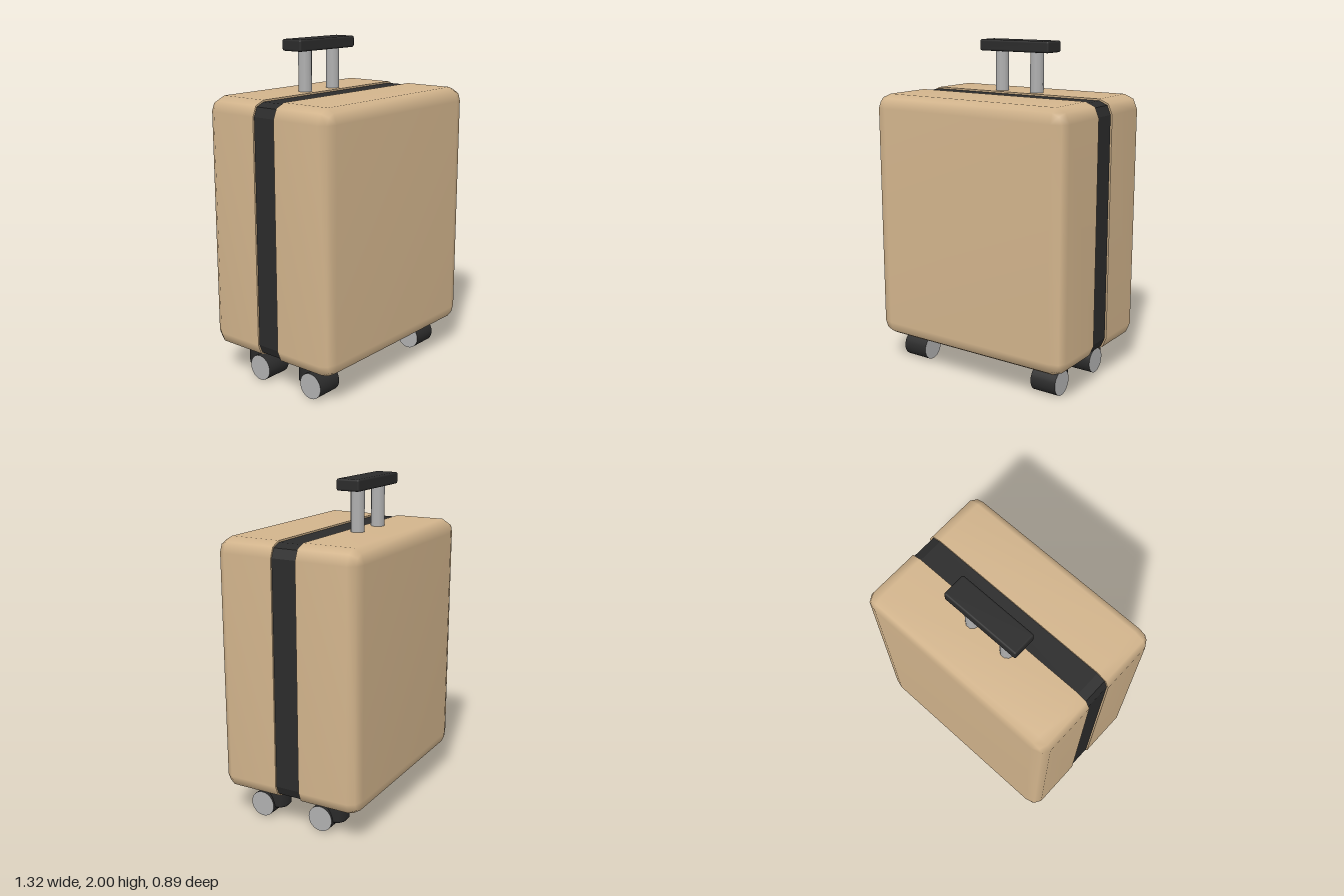
import * as THREE from 'three';
import { mergeVertices } from 'three/addons/utils/BufferGeometryUtils.js';
import { RoundedBoxGeometry } from 'three/addons/geometries/RoundedBoxGeometry.js';

const HALF_W = 0.66, HALF_H = 0.754, MID_Y = 0.938, RADIUS = 0.085, SEAM = 0.077;

const mat = (name, color) => {
  const m = new THREE.MeshStandardMaterial({ color });
  m.name = name;
  return m;
};

// Rounded rectangle, counter-clockwise, each corner cut in two steps
function outline(inset) {
  const pts = [], r = RADIUS - inset;
  [[1, 1], [-1, 1], [-1, -1], [1, -1]].forEach(([sx, sy], corner) => {
    for (let i = 0; i <= 2; i++) {
      const a = (corner + i / 2) * Math.PI / 2;
      pts.push(new THREE.Vector2(
        sx * (HALF_W - RADIUS) + r * Math.cos(a),
        sy * (HALF_H - RADIUS) + r * Math.sin(a)));
    }
  });
  return pts;
}

// Half shell: straight wall, then a softened edge into the flat face
function shellGeometry() {
  const rings = [[SEAM, 0], [0.387, 0], [0.429, 0.025], [0.447, RADIUS]];
  const pos = [], index = [], n = 12;
  for (const [z, inset] of rings) for (const p of outline(inset)) pos.push(p.x, p.y, z);
  for (let k = 0; k < rings.length - 1; k++) {
    for (let i = 0; i < n; i++) {
      const a = k * n + i, b = k * n + (i + 1) % n;
      index.push(a, b, b + n, a, b + n, a + n);
    }
  }
  const f = (rings.length - 1) * n;
  index.push(f, f + 3, f + 6, f, f + 6, f + 9);
  let geo = new THREE.BufferGeometry();
  geo.setAttribute('position', new THREE.Float32BufferAttribute(pos, 3));
  geo.setIndex(index);
  geo = mergeVertices(geo);
  geo.computeVertexNormals();
  return geo;
}

export function createModel() {
  const group = new THREE.Group();
  group.name = 'suitcase';
  const tan = mat('tan shell', 0xd2b48c);
  const black = mat('black trim', 0x2b2b2b);
  const grey = mat('grey metal', 0xb0b0b0);

  const add = (name, geo, material, x = 0, y = 0, z = 0, parent = group) => {
    const mesh = new THREE.Mesh(geo, material);
    mesh.name = name;
    mesh.position.set(x, y, z);
    parent.add(mesh);
    return mesh;
  };

  // Two half shells, each with a flat rim at the seam
  const shell = shellGeometry();
  const rim = new THREE.ShapeGeometry(new THREE.Shape(outline(0))).rotateY(Math.PI);
  for (const side of ['front', 'back']) {
    const half = new THREE.Group();
    half.name = side + 'Half';
    half.position.y = MID_Y;
    if (side === 'back') half.rotation.y = Math.PI;
    add(side + 'Shell', shell, tan, 0, 0, 0, half);
    add(side + 'Rim', rim, tan, 0, 0, SEAM, half);
    group.add(half);
  }

  // Recessed zip band between the shells
  const band = new THREE.ExtrudeGeometry(new THREE.Shape(outline(0.01)),
    { depth: 2 * SEAM, bevelEnabled: false });
  add('zipBand', band, black, 0, MID_Y, -SEAM);

  // Telescopic handle
  add('handleGrip', new RoundedBoxGeometry(0.492, 0.068, 0.145, 2, 0.012), black, -0.016, 1.966, -0.154);
  const post = new THREE.CylinderGeometry(0.041, 0.041, 0.35, 10).rotateY(Math.PI / 2);
  for (const x of [-0.143, 0.108]) add('handlePost', post, grey, x, 1.775, -0.154);

  // Castors: a pillar with a chamfered foot, and a wheel with grey end faces
  const profile = [[0, 0.058], [0.056, 0.058], [0.071, 0.076], [0.071, 0.2]]
    .map(([r, y]) => new THREE.Vector2(r, y));
  const pillar = new THREE.LatheGeometry(profile, 10).rotateY(Math.PI / 2);
  const wheel = new THREE.CylinderGeometry(0.077, 0.077, 0.166, 24).rotateZ(Math.PI / 2);
  for (const x of [-0.49, 0.467]) {
    for (const z of [0.246, -0.153]) {
      const castor = new THREE.Group();
      castor.name = 'castor';
      castor.position.set(x, 0, z);
      add('castorPillar', pillar, black, 0, 0, -0.069, castor);
      add('wheel', wheel, [black, grey, grey], 0, 0.077, 0, castor);
      group.add(castor);
    }
  }
  return group;
}
